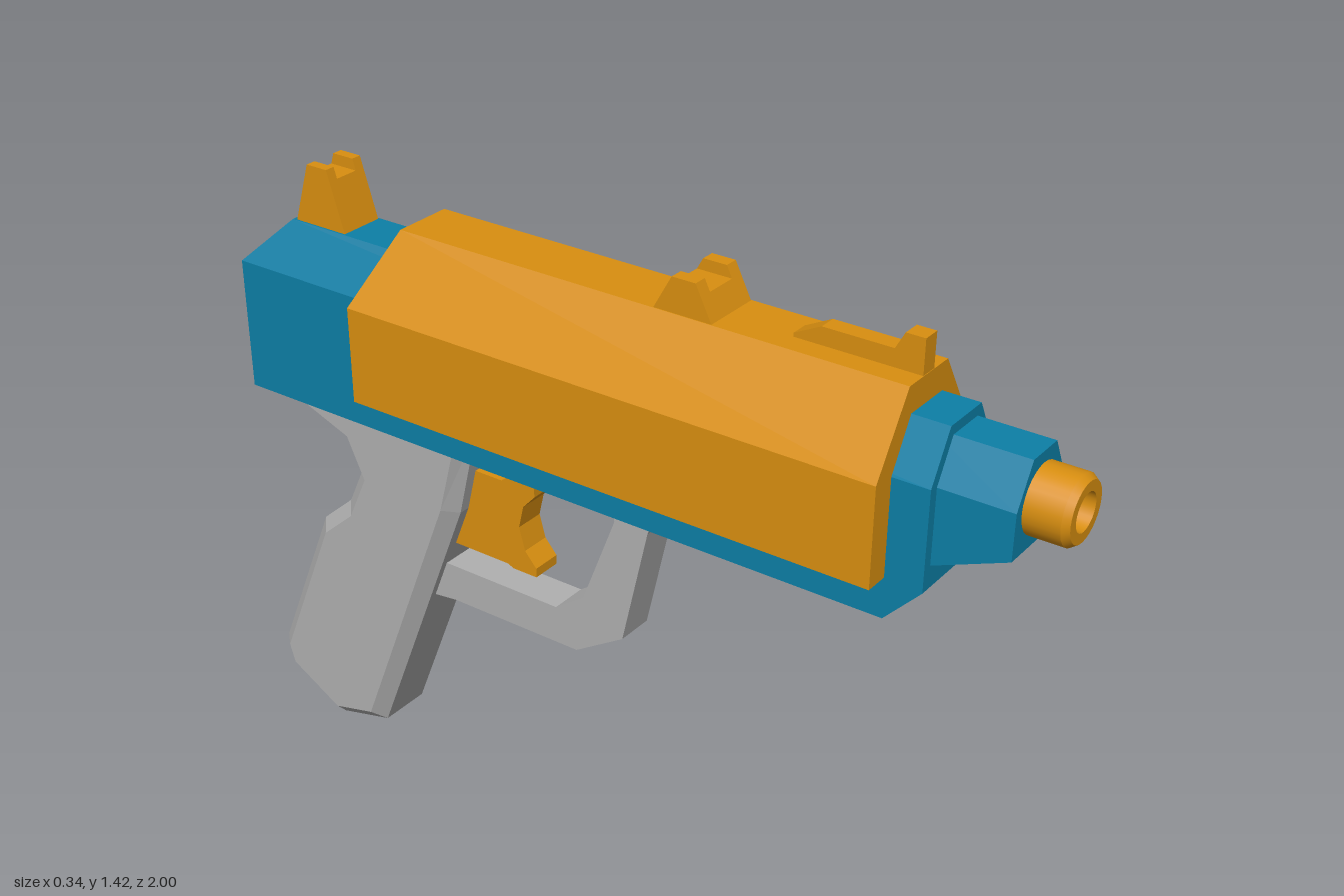
import * as THREE from 'three';

const mat = (name, color, side = THREE.FrontSide) => {
  const m = new THREE.MeshStandardMaterial({ color, side });
  m.name = name;
  return m;
};

// Solid stacked upward from rectangles: [y, halfWidth, zBack, zFront]
function stackedSolid(levels) {
  const pos = [], idx = [];
  for (const [y, w, zb, zf] of levels) pos.push(-w, y, zb, w, y, zb, w, y, zf, -w, y, zf);
  for (let l = 0; l < levels.length - 1; l++) {
    for (let i = 0; i < 4; i++) {
      const a = l * 4 + i, b = l * 4 + (i + 1) % 4;
      idx.push(a, a + 4, b + 4, a, b + 4, b);
    }
  }
  const t = (levels.length - 1) * 4;
  idx.push(0, 1, 2, 0, 2, 3, t, t + 3, t + 2, t, t + 2, t + 1);
  const g = new THREE.BufferGeometry();
  g.setAttribute('position', new THREE.Float32BufferAttribute(pos, 3));
  g.setIndex(idx);
  const flat = g.toNonIndexed();
  flat.computeVertexNormals();
  return flat;
}

// Side profile of [z, y] points, extruded across x with an optional chamfer
function sideProfile(points, halfWidth, x = 0, bevel = 0) {
  const shape = new THREE.Shape(points.map(([z, y]) => new THREE.Vector2(z, y)));
  const depth = 2 * (halfWidth - bevel);
  const g = new THREE.ExtrudeGeometry(shape, {
    depth, bevelEnabled: bevel > 0, bevelThickness: bevel, bevelSize: bevel,
    bevelOffset: -bevel, bevelSegments: 1,
  });
  g.translate(0, 0, -depth / 2);
  g.rotateY(-Math.PI / 2);
  g.translate(x, 0, 0);
  return g;
}

export function createModel() {
  const orange = mat('orange', 0xd98f10);
  const blue = mat('blue', 0x0d7fa6);
  const grey = mat('grey', 0xb0b0b0);
  const root = new THREE.Group();
  root.name = 'toyBlaster';
  const add = (name, geometry, material, parent = root) => {
    const m = new THREE.Mesh(geometry, material);
    m.name = name;
    parent.add(m);
    return m;
  };

  // Main body, nose block and outer cover
  add('body', stackedSolid([
    [0.88, 0.115, -0.975, 0.67], [0.965, 0.115, -0.975, 0.75],
    [1.185, 0.115, -0.975, 0.75], [1.29, 0.057, -0.865, 0.75],
  ]), blue);
  add('nose', stackedSolid([
    [1.015, 0.093, 0.7, 0.75], [1.08, 0.093, 0.7, 0.91],
    [1.18, 0.093, 0.7, 0.91], [1.268, 0.045, 0.7, 0.91],
  ]), blue);
  add('cover', stackedSolid([
    [0.97, 0.17, -0.612, 0.668], [1.19, 0.17, -0.612, 0.668], [1.35, 0.07, -0.54, 0.668],
  ]), orange);

  // Hollow muzzle with a blue bore floor
  const ring = [[0.072, 0], [0.072, 0.078], [0.062, 0.092], [0.04, 0.092], [0.04, 0.0]];
  const muzzle = new THREE.Group();
  muzzle.name = 'muzzle';
  muzzle.position.set(0, 1.171, 0.908);
  muzzle.rotation.x = Math.PI / 2;
  root.add(muzzle);
  for (let i = 0; i < ring.length - 1; i++) {
    const pts = [ring[i], ring[i + 1]].map(([r, y]) => new THREE.Vector2(r, y));
    add('muzzleRing', new THREE.LatheGeometry(pts, 28), orange, muzzle);
  }
  const bore = add('boreFloor', new THREE.CircleGeometry(0.041, 28), blue);
  bore.position.set(0, 1.171, 0.914);

  // Front blade sight
  add('frontSight', sideProfile([
    [0.667, 1.34], [0.667, 1.425], [0.625, 1.425], [0.605, 1.388],
    [0.45, 1.388], [0.39, 1.358], [0.39, 1.34],
  ], 0.02), orange);

  // Notched sights: a low centre between two ears
  const notchedSight = (name, zf, zb, base, tf, tb, top, half) => {
    const group = new THREE.Group();
    group.name = name;
    root.add(group);
    const notch = 0.025, inner = half * 0.55, ear = (half - inner) / 2;
    const k = (top - notch - base) / (top - base);
    const lerp = (a, b) => a + (b - a) * k;
    add('sightCentre', sideProfile([
      [zf, base], [zb, base], [lerp(zb, tb), top - notch], [lerp(zf, tf), top - notch],
    ], inner), orange, group);
    for (const s of [-1, 1]) {
      add('sightEar', sideProfile([[zf, base], [zb, base], [tb, top], [tf, top]],
        ear, s * (inner + ear)), orange, group);
    }
  };
  notchedSight('middleSight', 0.24, 0.1, 1.345, 0.2, 0.145, 1.425, 0.068);
  notchedSight('rearSight', -0.715, -0.857, 1.285, -0.758, -0.813, 1.425, 0.053);

  // Grip with chamfered edges
  add('grip', sideProfile([
    [-0.365, 0.925], [-0.418, 0.71], [-0.685, 0.04], [-0.825, 0.004], [-0.98, 0.095],
    [-1.0, 0.165], [-0.836, 0.555], [-0.75, 0.63], [-0.707, 0.722], [-0.74, 0.795],
    [-0.955, 0.878], [-0.955, 0.925],
  ], 0.095, 0, 0.032), grey);

  // Trigger guard
  add('triggerGuard', sideProfile([
    [0.125, 0.89], [0.09, 0.86], [0.075, 0.82], [0.01, 0.535], [-0.115, 0.457],
    [-0.46, 0.457], [-0.56, 0.445], [-0.53, 0.548], [-0.17, 0.548], [-0.095, 0.6],
    [-0.01, 0.82], [-0.015, 0.89],
  ], 0.045), grey);

  // Trigger with a curved finger face
  add('trigger', sideProfile([
    [-0.23, 0.825], [-0.305, 0.825], [-0.32, 0.812], [-0.48, 0.812], [-0.53, 0.605],
    [-0.31, 0.605], [-0.295, 0.598], [-0.23, 0.598], [-0.23, 0.62], [-0.26, 0.655],
    [-0.275, 0.71], [-0.262, 0.765], [-0.23, 0.8],
  ], 0.036), orange);

  return root;
}
